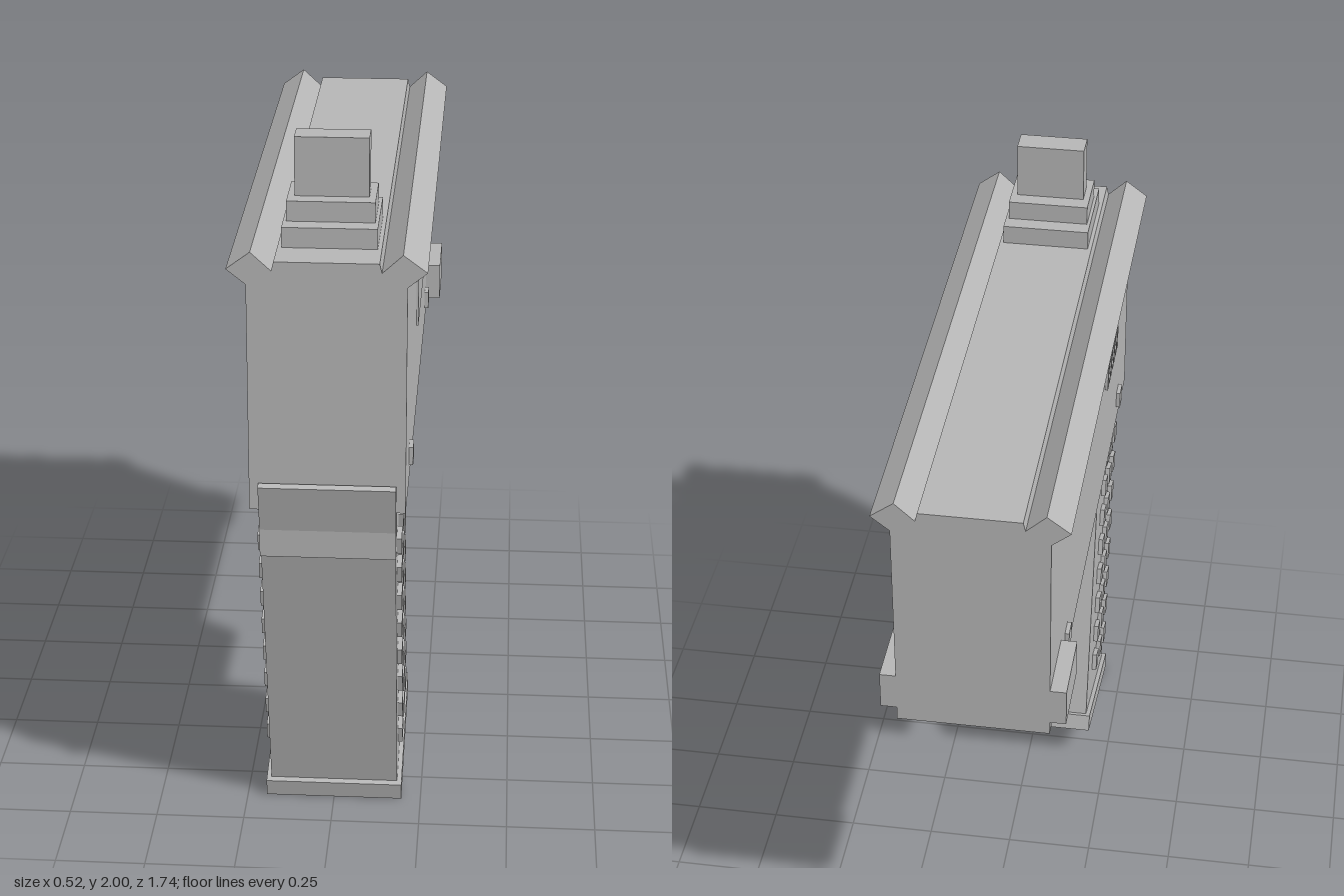
import * as THREE from 'three';

const grey = new THREE.MeshStandardMaterial({ color: 0xb6b6b6 });
grey.name = 'grey';

export function createModel() {
  const group = new THREE.Group();

  function add(name, geometry) {
    const mesh = new THREE.Mesh(geometry, grey);
    mesh.name = name;
    group.add(mesh);
    return mesh;
  }

  // Box given by its limits on each axis
  function box(name, x0, x1, y0, y1, z0, z1) {
    const mesh = add(name, new THREE.BoxGeometry(x1 - x0, y1 - y0, z1 - z0));
    mesh.position.set((x0 + x1) / 2, (y0 + y1) / 2, (z0 + z1) / 2);
    return mesh;
  }

  const extrude = (points, depth) => new THREE.ExtrudeGeometry(
    new THREE.Shape(points.map(([a, b]) => new THREE.Vector2(a, b))),
    { depth, bevelEnabled: false });

  // Side outline of [z, y] points, extruded symmetrically across x
  function sidePart(name, points, halfWidth) {
    const g = extrude(points, halfWidth * 2);
    g.translate(0, 0, -halfWidth).rotateY(-Math.PI / 2);
    return add(name, g);
  }

  // Body with flared rails, one mirrored cross-section
  const half = [[0.208, 1.03], [0.208, 1.667], [0.259, 1.708], [0.196, 1.755],
    [0.142, 1.705], [0.136, 1.73]];
  const section = [...half, ...half.map(([x, y]) => [-x, y]).reverse()];
  const body = extrude(section, 1.72);
  body.translate(0, 0, -0.87);
  add('body', body);

  // Stepped post on top
  box('postBase', -0.125, 0.125, 1.72, 1.785, 0.476, 0.74);
  box('postStep', -0.116, 0.116, 1.785, 1.84, 0.524, 0.69);
  box('post', -0.098, 0.098, 1.84, 2, 0.571, 0.645);

  // Side blocks and pins on both sides
  for (const s of [-1, 1]) {
    const side = s < 0 ? 'right' : 'left';
    const put = (name, y0, y1, z0, z1, out) =>
      box(side + name, Math.min(s * 0.19, s * out), Math.max(s * 0.19, s * out), y0, y1, z0, z1);
    put('RearBlock', 1.07, 1.18, -0.87, -0.656, 0.252);
    put('FrontPin', 1.085, 1.137, 0.61, 0.662, 0.22);
    put('RearPin', 1.085, 1.137, -0.576, -0.524, 0.22);
  }

  // Thin cover on the left, row of slats on the right
  box('sidePanel', 0.206, 0.214, 1.31, 1.585, -0.44, 0.2);
  for (let i = 0; i < 7; i++) {
    const z = 0.28 + i * 0.037;
    box('slat', -0.217, -0.206, 1.37, 1.44, z, z + 0.026);
  }

  // Slanted grip, its base and the stepped lip at the front
  sidePart('grip', [[0.614, 0.055], [0.19, 0.16], [0.39, 0.94], [0.39, 1.04],
    [0.845, 1.04], [0.815, 0.885]], 0.182);
  sidePart('gripBase', [[0.632, 0.055], [0.621, 0.003], [0.164, 0.12], [0.178, 0.17]], 0.195);
  sidePart('gripLip', [[0.857, 1.11], [0.873, 1.103], [0.84, 0.965], [0.838, 0.885],
    [0.78, 0.885], [0.8, 1.03], [0.84, 1.03]], 0.183);

  // Raised squares on both sides of the grip
  const bump = new THREE.BoxGeometry(0.025, 0.053, 0.053);
  for (const s of [-1, 1]) {
    for (let row = 0; row < 8; row++) {
      for (let col = 0; col < 3; col++) {
        const mesh = add('gripStud', bump);
        mesh.position.set(s * 0.183,
          0.897 + col * 0.025 - row * 0.099,
          0.741 - col * 0.1 - row * 0.025);
        mesh.rotation.x = 0.245;
      }
    }
  }

  // Lever and its guard
  sidePart('lever', [[0.233, 1.04], [0.26, 0.86], [0.222, 0.855], [0.196, 0.795],
    [0.143, 0.81], [0.16, 0.87], [0.19, 0.862], [0.18, 0.915], [0.19, 0.93],
    [0.175, 1.04]], 0.032);
  sidePart('leverGuard', [[0, 1.04], [0, 0.73], [0.037, 0.695], [0.35, 0.695], [0.35, 0.632],
    [0.02, 0.632], [0, 0.617], [-0.02, 0.632], [-0.06, 0.632], [-0.06, 1.04]], 0.05);

  // Block under the body
  box('underBlock', -0.085, 0.085, 0.882, 0.967, -0.334, -0.228);

  return group;
}
